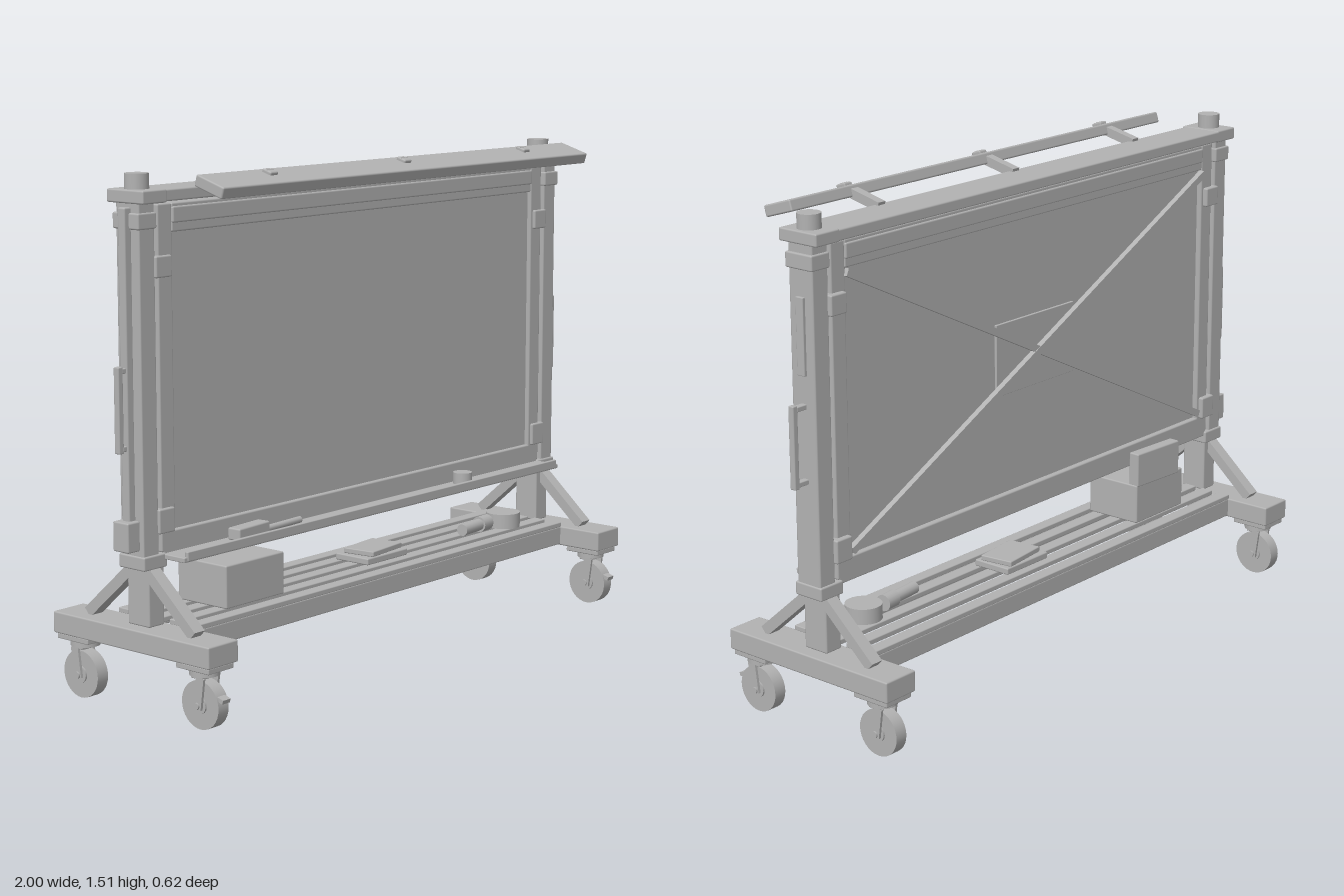
import * as THREE from 'three';
import { RoundedBoxGeometry } from 'three/addons/geometries/RoundedBoxGeometry.js';

const grey = new THREE.MeshStandardMaterial({ color: 0xb2b2b2 });
grey.name = 'plain grey';

function add(parent, name, geometry, x = 0, y = 0, z = 0) {
  const mesh = new THREE.Mesh(geometry, grey);
  mesh.name = name;
  mesh.position.set(x, y, z);
  parent.add(mesh);
  return mesh;
}

// Box given by its bounds, with a small bevel where it is thick enough
function box(parent, name, x0, x1, y0, y1, z0, z1) {
  const w = x1 - x0, h = y1 - y0, d = z1 - z0;
  const r = Math.min(0.005, Math.min(w, h, d) * 0.2);
  return add(parent, name, new RoundedBoxGeometry(w, h, d, 1, r), (x0 + x1) / 2, (y0 + y1) / 2, (z0 + z1) / 2);
}

// Straight bar between two points
function bar(parent, name, a, b, width, depth) {
  const from = new THREE.Vector3(...a), to = new THREE.Vector3(...b);
  const mid = from.clone().add(to).multiplyScalar(0.5);
  const mesh = add(parent, name, new THREE.BoxGeometry(width, from.distanceTo(to), depth), mid.x, mid.y, mid.z);
  mesh.quaternion.setFromUnitVectors(new THREE.Vector3(0, 1, 0), to.sub(from).normalize());
  return mesh;
}

const cyl = (r, h, n = 24) => new THREE.CylinderGeometry(r, r, h, n);

function caster(parent, x, z, front) {
  const g = new THREE.Group();
  g.name = 'caster';
  g.position.set(x, 0, z);
  parent.add(g);
  box(g, 'casterPlate', -0.05, 0.05, 0.17, 0.187, -0.062, 0.062);
  add(g, 'casterSwivel', cyl(0.043, 0.018), 0, 0.162, 0);
  box(g, 'forkCrown', -0.033, 0.033, 0.145, 0.157, -0.022, 0.022);
  add(g, 'wheel', cyl(0.069, 0.04, 32), 0, 0.069, 0).rotation.z = Math.PI / 2;
  add(g, 'hub', cyl(0.025, 0.05, 16), 0, 0.069, 0).rotation.z = Math.PI / 2;
  add(g, 'axle', cyl(0.01, 0.076, 12), 0, 0.069, 0).rotation.z = Math.PI / 2;
  for (const s of [-1, 1]) {
    bar(g, 'forkArm', [s * 0.029, 0.15, front ? 0.012 : -0.012], [s * 0.029, 0.06, 0], 0.008, 0.028);
  }
  if (front) bar(g, 'brakePedal', [0, 0.108, 0.02], [0, 0.09, 0.08], 0.03, 0.012);
}

function side(parent, s) {
  const g = new THREE.Group();
  g.name = s > 0 ? 'leftSide' : 'rightSide';
  parent.add(g);
  // Bounds measured outwards from the middle
  const b = (name, x0, x1, ...rest) => box(g, name, Math.min(s * x0, s * x1), Math.max(s * x0, s * x1), ...rest);
  b('foot', 0.85, 0.968, 0.187, 0.25, -0.305, 0.305);
  b('lowerPost', 0.868, 0.928, 0.25, 0.43, -0.042, 0.042);
  b('post', 0.888, 0.948, 0.43, 1.43, -0.044, 0.044);
  b('lowerCollar', 0.862, 0.952, 0.415, 0.455, -0.05, 0.05);
  b('upperCollar', 0.885, 0.956, 1.355, 1.4, -0.05, 0.05);
  b('postCap', 0.865, 0.957, 1.425, 1.462, -0.07, 0.07);
  add(g, 'topKnob', cyl(0.034, 0.045, 20), s * 0.91, 1.482, 0);
  for (const z of [-1, 1]) {
    bar(g, 'footBrace', [s * 0.908, 0.405, z * 0.035], [s * 0.908, 0.255, z * 0.205], 0.04, 0.032);
    caster(g, s * 0.91, z * 0.235, z > 0);
  }
  // Grab handle
  b('handleGrip', 0.982, 1, 0.745, 0.985, -0.01, 0.01);
  for (const y of [0.75, 0.965]) b('handleMount', 0.945, 0.985, y, y + 0.015, -0.01, 0.01);
  // Board frame upright and its clamps
  b('frameStile', 0.82, 0.875, 0.455, 1.42, -0.042, 0.042);
  for (const [y0, y1] of [[0.51, 0.58], [1.22, 1.28]]) b('frameClamp', 0.83, 0.892, y0, y1, -0.058, 0.052);
}

export function createModel() {
  const model = new THREE.Group();
  model.name = 'mobileBoard';
  for (const s of [-1, 1]) side(model, s);

  // Board and frame
  box(model, 'topBeam', -0.95, 0.95, 1.427, 1.46, -0.07, 0.062);
  box(model, 'topRail', -0.82, 0.82, 1.34, 1.42, -0.042, 0.042);
  box(model, 'topTrim', -0.82, 0.82, 1.365, 1.41, -0.047, 0.047);
  box(model, 'bottomRail', -0.87, 0.87, 0.44, 0.512, -0.042, 0.042);
  box(model, 'boardPanel', -0.825, 0.825, 0.505, 1.345, -0.025, 0.028);
  for (const s of [-1, 1]) {
    bar(model, 'backBrace', [-0.82, 0.93 - s * 0.4, -0.045], [0.82, 0.93 + s * 0.4, -0.045], 0.022, s > 0 ? 0.014 : 0.018);
  }
  box(model, 'backPlate', -0.18, 0.18, 0.82, 1.04, -0.033, -0.024);

  // Tilted light bar on three arms
  const light = box(model, 'lightBar', -0.834, 0.834, -0.017, 0.017, -0.053, 0.053);
  light.position.set(0, 1.472, 0.195);
  light.rotation.x = 0.3;
  for (const x of [-0.58, 0, 0.58]) {
    bar(model, 'lightArm', [x, 1.455, 0.045], [x, 1.49, 0.19], 0.028, 0.028);
    box(model, 'lightClip', x - 0.016, x + 0.016, 1.472, 1.503, 0.165, 0.2).rotation.x = 0.3;
  }

  // Tray with a front lip, and the things on it
  box(model, 'tray', -0.872, 0.872, 0.437, 0.452, 0.035, 0.125);
  box(model, 'trayLip', -0.86, 0.86, 0.44, 0.467, 0.115, 0.128);
  box(model, 'eraser', -0.63, -0.49, 0.452, 0.488, 0.055, 0.1).rotation.y = 0.08;
  const marker = add(model, 'marker', cyl(0.01, 0.16, 12), -0.42, 0.464, 0.08);
  marker.rotation.set(0, 0.06, Math.PI / 2);
  add(model, 'magnet', cyl(0.03, 0.036), 0.424, 0.47, 0.08);

  // Power box and cable run on the right post
  box(model, 'cableRun', -0.972, -0.945, 0.47, 1.415, -0.014, 0.014);
  box(model, 'powerBox', -0.993, -0.945, 0.47, 0.555, -0.03, 0.03);
  // Slim cover on the left post
  box(model, 'postCover', 0.945, 0.957, 1.06, 1.28, -0.014, 0.014);

  // Lower shelf
  for (const z of [-0.135, 0.135]) box(model, 'stretcher', -0.855, 0.855, 0.19, 0.25, z - 0.02, z + 0.02);
  for (let i = -2; i <= 2; i++) {
    box(model, 'shelfSlat', -0.855, 0.855, 0.248, 0.264, i * 0.0675 - 0.021, i * 0.0675 + 0.021);
  }

  // Open storage box
  box(model, 'storageBox', -0.68, -0.437, 0.264, 0.39, -0.09, 0.1);
  box(model, 'storageLid', -0.642, -0.44, 0.385, 0.495, -0.098, -0.06).rotation.y = -0.06;

  // Books
  box(model, 'lowerBook', -0.02, 0.17, 0.264, 0.285, -0.065, 0.065);
  box(model, 'upperBook', 0, 0.16, 0.285, 0.302, -0.055, 0.055).rotation.y = 0.12;

  // Torch and tape roll
  const torch = new THREE.Group();
  torch.name = 'torch';
  torch.position.set(0.54, 0.288, 0.04);
  torch.rotation.y = 0.1;
  model.add(torch);
  add(torch, 'torchBody', cyl(0.019, 0.12, 16), -0.015).rotation.z = Math.PI / 2;
  add(torch, 'torchHead', cyl(0.025, 0.05, 16), 0.05).rotation.z = Math.PI / 2;
  add(model, 'tapeRoll', cyl(0.055, 0.047, 28), 0.69, 0.287, 0.04);

  return model;
}
